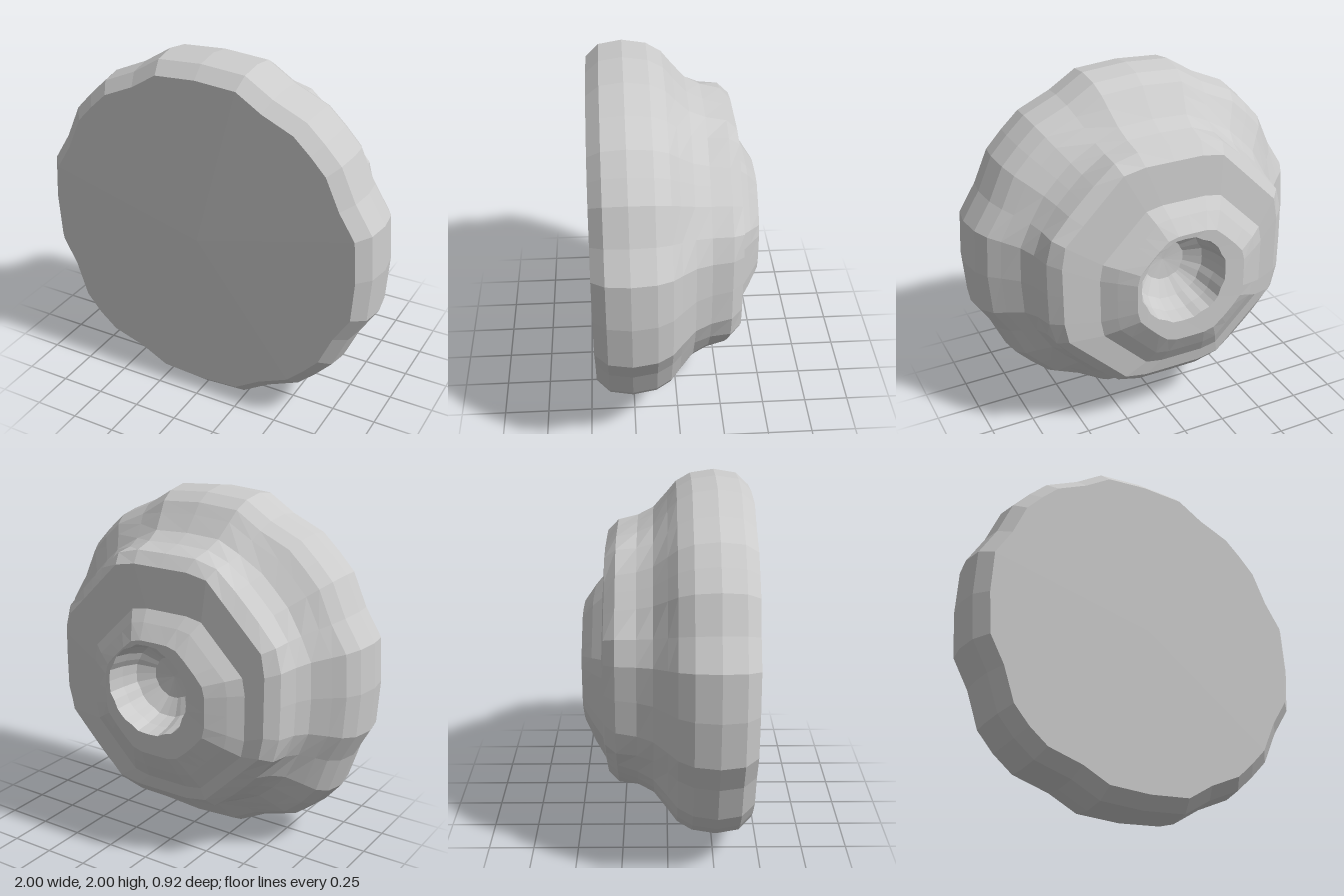
import * as THREE from 'three';

const material = new THREE.MeshStandardMaterial({ color: 0xcccccc, flatShading: true });
const rad = THREE.MathUtils.degToRad;

// One quadrant of the uneven rim: angle in degrees, relative radius
const quadrant = [
  [0, 1.0], [14.5, 1.015], [25, 0.975], [37, 1.0],
  [45, 0.995], [53, 1.0], [65, 0.975], [75.5, 1.015],
];

// The lower right quadrant (-x, -y) swells outwards a little
const columns = [0, 90, 180, 270].flatMap((q) => quadrant.map(([a, m]) => {
  const swell = q === 180 ? 0.05 * Math.sin(rad(2 * a)) ** 4 : 0;
  return [a + q, m + swell];
}));

// Relative radius of an octagon with flats facing up, down and sideways
const octagon = (deg) => 1 / Math.cos(rad(((deg + 22.5) % 45) - 22.5));

// Skin a list of rings [radius, z, octagon share, centre x, centre y], front to back
function skin(name, rings) {
  const positions = [];
  const index = [];
  const n = columns.length;
  for (const [r, z, share, cx = 0, cy = 1] of rings) {
    for (const [deg, m] of columns) {
      const k = r * THREE.MathUtils.lerp(m, octagon(deg), share);
      positions.push(cx + k * Math.cos(rad(deg)), cy + k * Math.sin(rad(deg)), z);
    }
  }
  for (let i = 0; i < rings.length - 1; i++) {
    for (let j = 0; j < n; j++) {
      const a = i * n + j;
      const b = i * n + ((j + 1) % n);
      if (rings[i + 1][0] > 0) index.push(a, a + n, b + n);
      else index.push(a, a + n, b);
      if (rings[i][0] > 0 && rings[i + 1][0] > 0) index.push(a, b + n, b);
    }
  }
  const geometry = new THREE.BufferGeometry();
  geometry.setAttribute('position', new THREE.Float32BufferAttribute(positions, 3));
  geometry.setIndex(index);
  geometry.computeVertexNormals();
  const mesh = new THREE.Mesh(geometry, material);
  mesh.name = name;
  return mesh;
}

export function createModel() {
  const model = new THREE.Group();
  model.name = 'roundKnob';

  const hubBase = [0.495, -0.345, 1, -0.05, 0.925];
  const socketRim = [0.255, -0.458, 0];

  // Flat front, bulging rim and stepped octagonal shoulder
  model.add(skin('body', [
    [0, 0.46, 0], [0.915, 0.455, 0], [0.98, 0.385, 0], [1, 0.26, 0],
    [0.98, 0.13, 0], [0.935, 0.05, 0], [0.875, 0, 0.1], [0.79, -0.075, 0.3],
    [0.745, -0.16, 0.5], [0.715, -0.27, 0.8], [0.65, -0.33, 1], hubBase,
  ]));

  // Raised octagonal hub, slightly off centre
  model.add(skin('hub', [
    hubBase, [0.42, -0.4, 1, -0.05, 0.94], [0.325, -0.46, 0.8, -0.045, 0.955], socketRim,
  ]));

  // Rounded hollow on the centre line
  model.add(skin('socket', [
    socketRim, [0.24, -0.36, 0], [0.21, -0.27, 0], [0.12, -0.21, 0], [0, -0.2, 0],
  ]));

  return model;
}
